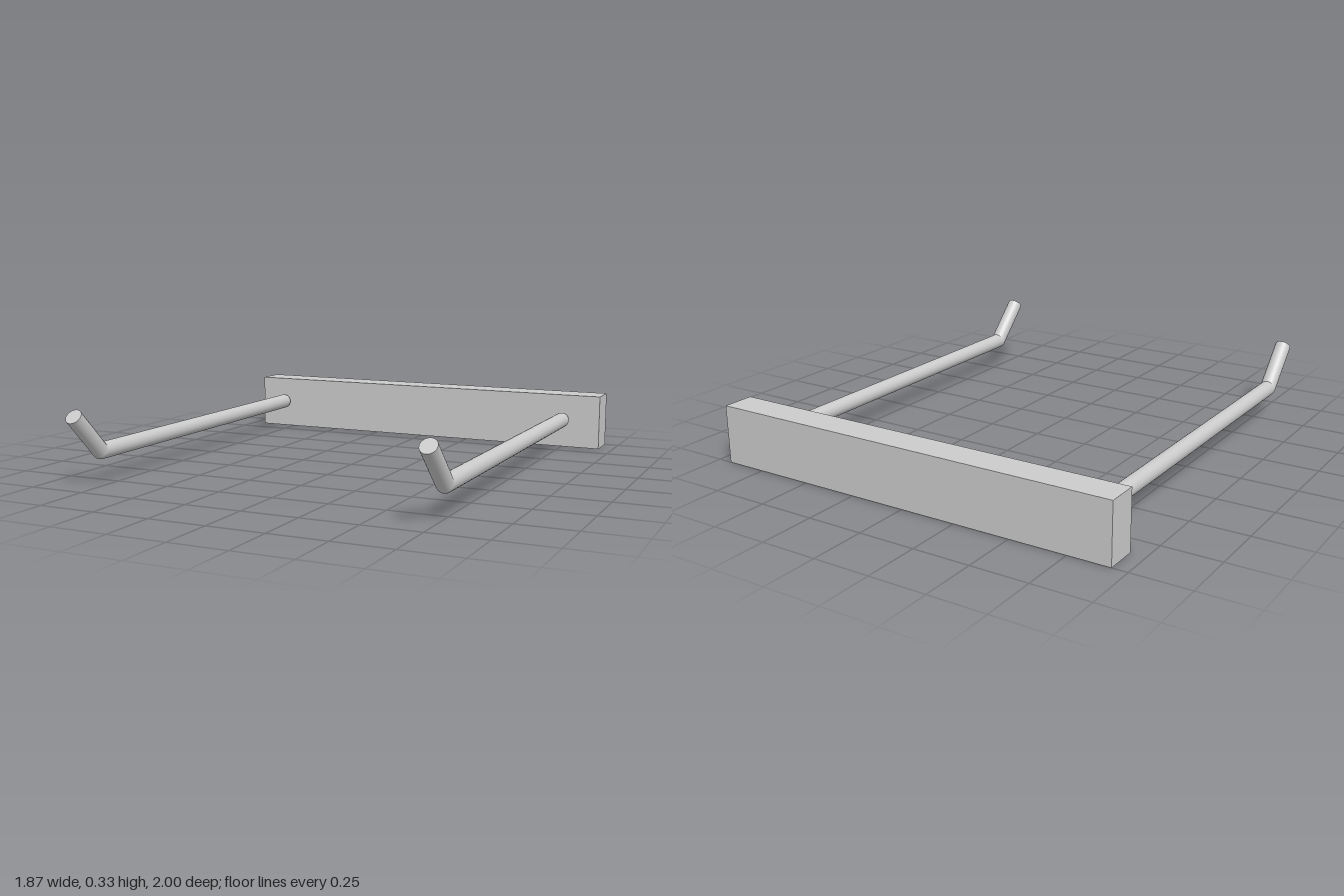
import * as THREE from 'three';

const material = new THREE.MeshStandardMaterial({ color: 0xcccccc });
const RADIUS = 0.036;

function addMesh(parent, name, geometry, position) {
  const mesh = new THREE.Mesh(geometry, material);
  mesh.name = name;
  mesh.position.copy(position);
  parent.add(mesh);
  return mesh;
}

// Straight capped rod between two points
function addRod(parent, name, a, b) {
  const geometry = new THREE.CylinderGeometry(RADIUS, RADIUS, a.distanceTo(b), 32);
  const rod = addMesh(parent, name, geometry, a.clone().lerp(b, 0.5));
  rod.quaternion.setFromUnitVectors(new THREE.Vector3(0, 1, 0), b.clone().sub(a).normalize());
}

// Hook: rod segments with ball joints, the tip bent up at 45 degrees
function createHook(name, x) {
  const hook = new THREE.Group();
  hook.name = name;
  hook.position.x = x;
  const points = [[0.137, -0.823], [0.137, -0.015], [0.137, 0.804], [0.307, 0.974]]
    .map(([y, z]) => new THREE.Vector3(0, y, z));
  const rods = ['rearRod', 'frontRod', 'hookTip'];
  const joints = ['rearJoint', 'middleJoint', 'bendJoint'];
  rods.forEach((rod, i) => {
    addRod(hook, rod, points[i], points[i + 1]);
    addMesh(hook, joints[i], new THREE.SphereGeometry(RADIUS, 32, 20), points[i]);
  });
  return hook;
}

export function createModel() {
  const model = new THREE.Group();
  model.name = 'wallHookRack';

  // Mounting bar at the back
  addMesh(model, 'mountingBar', new THREE.BoxGeometry(1.868, 0.258, 0.142),
    new THREE.Vector3(0, 0.129, -0.929));

  // Two hooks, set slightly off centre
  model.add(createHook('rightHook', -0.795), createHook('leftHook', 0.755));
  return model;
}
